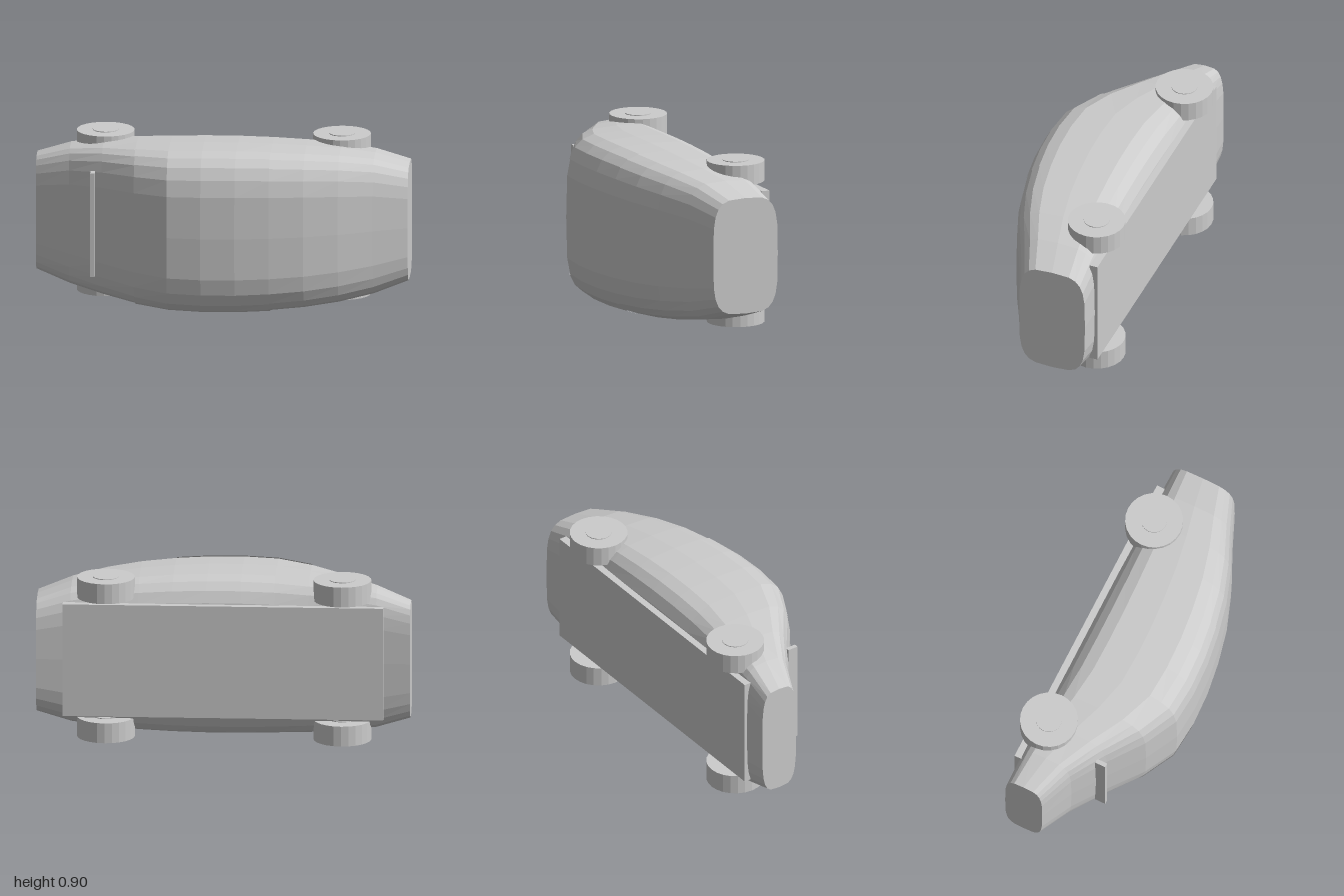
import * as THREE from 'three';

const CY = 0.448, SIDES = 24, N = 12, LOW = -0.305;
// Body profile at twelve even stations along x: half width and roof height (z)
const HALF = [0.316, 0.377, 0.41, 0.43, 0.442, 0.448, 0.448, 0.442, 0.43, 0.41, 0.377, 0.316];
const ROOF = [-0.085, 0.0, 0.125, 0.265, 0.36, 0.375, 0.367, 0.341, 0.3, 0.235, 0.15, 0.073];

// Point on the rounded-square section of a station
function bodyPoint(i, j, grow = 1) {
  const t = (j / SIDES) * Math.PI * 2;
  const s = Math.sin(t), c = Math.cos(t);
  const mid = (ROOF[i] + LOW) / 2, h = (ROOF[i] - LOW) / 2;
  return [
    -1 + (2 * i) / (N - 1),
    CY + grow * HALF[i] * Math.sign(s) * Math.sqrt(Math.abs(s)),
    mid + grow * h * Math.sign(c) * Math.sqrt(Math.abs(c)),
  ];
}

// Skin between stations i0..i1 and section steps j0..j1
function skin(i0, i1, j0, j1, grow, caps) {
  const p = [];
  for (let i = i0; i < i1; i++) {
    for (let j = j0; j < j1; j++) {
      const a = bodyPoint(i, j, grow), b = bodyPoint(i + 1, j, grow);
      const c = bodyPoint(i + 1, j + 1, grow), d = bodyPoint(i, j + 1, grow);
      p.push(...a, ...b, ...c, ...a, ...c, ...d);
    }
  }
  if (caps) {
    for (let j = j0; j < j1; j++) {
      p.push(-1, CY, (ROOF[0] + LOW) / 2, ...bodyPoint(0, j), ...bodyPoint(0, j + 1));
      p.push(1, CY, (ROOF[N - 1] + LOW) / 2, ...bodyPoint(N - 1, j + 1), ...bodyPoint(N - 1, j));
    }
  }
  const g = new THREE.BufferGeometry();
  g.setAttribute('position', new THREE.Float32BufferAttribute(p, 3));
  g.computeVertexNormals();
  return g;
}

export function createModel() {
  const model = new THREE.Group();
  model.name = 'car';
  const grey = new THREE.MeshStandardMaterial({ color: 0xcccccc, flatShading: true, side: THREE.DoubleSide });
  grey.name = 'plain grey';

  const add = (name, geometry, x, y, z, parent = model) => {
    const mesh = new THREE.Mesh(geometry, grey);
    mesh.name = name;
    mesh.position.set(x, y, z);
    parent.add(mesh);
    return mesh;
  };

  // Lofted shell, with the car lying on its side
  add('body', skin(0, N - 1, 0, SIDES, 1, true), 0, 0, 0);

  // Side window panels hugging the shell
  add('upperSideWindow', skin(3, 7, 2, 5, 1.01), 0, 0, 0);
  add('lowerSideWindow', skin(3, 7, 19, 22, 1.01), 0, 0, 0);

  // Floor plate
  add('floorPlate', new THREE.BoxGeometry(1.715, 0.62, 0.045), 0, CY, -0.2975);

  // Thin bar across the nose
  add('noseBar', new THREE.BoxGeometry(0.024, 0.572, 0.06), -0.683, 0.453, 0.11);

  // Wheels with slightly raised hubs
  const tyre = new THREE.CylinderGeometry(0.155, 0.155, 0.11, 24);
  const hub = new THREE.CylinderGeometry(0.07, 0.07, 0.118, 20);
  for (const x of [-0.635, 0.63]) {
    for (const side of [-1, 1]) {
      const wheel = new THREE.Group();
      wheel.name = (x < 0 ? 'front' : 'rear') + (side > 0 ? 'Upper' : 'Lower') + 'Wheel';
      wheel.position.set(x, CY + side * 0.386, -0.225);
      add('tyre', tyre, 0, 0, 0, wheel);
      add('hub', hub, 0, 0, 0, wheel);
      model.add(wheel);
    }
  }
  return model;
}
